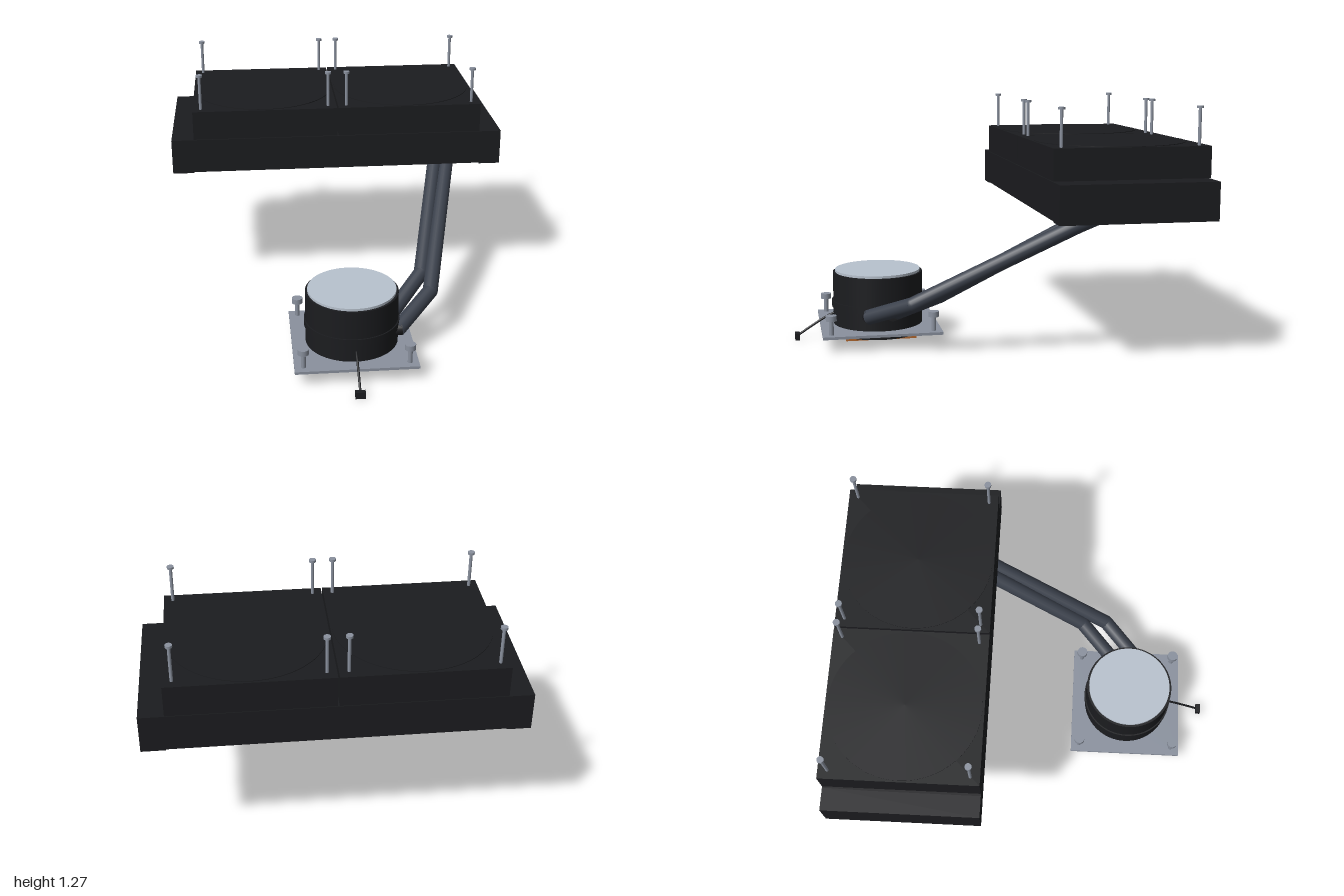
import * as THREE from 'three';

const mat = (color) => new THREE.MeshStandardMaterial({ color });
const black = mat(0x1b1c1f), rubber = mat(0x3a404b), steel = mat(0x8a919e);
const silver = mat(0xb8c2ce), copper = mat(0xb4682f);

function add(parent, name, geometry, material, x = 0, y = 0, z = 0) {
  const mesh = new THREE.Mesh(geometry, material);
  mesh.name = name;
  mesh.position.set(x, y, z);
  parent.add(mesh);
  return mesh;
}

// Box and upright cylinder given by their bottom and top heights
const box = (p, name, m, w, d, y0, y1, x = 0, z = 0) =>
  add(p, name, new THREE.BoxGeometry(w, y1 - y0, d), m, x, (y0 + y1) / 2, z);
const disc = (p, name, m, r, y0, y1, x = 0, z = 0, sides = 64) =>
  add(p, name, new THREE.CylinderGeometry(r, r, y1 - y0, sides), m, x, (y0 + y1) / 2, z);

// Round rod between two points
function rod(p, name, m, r, a, b, sides = 20) {
  const dir = b.clone().sub(a);
  const mid = a.clone().add(b).multiplyScalar(0.5);
  const mesh = add(p, name, new THREE.CylinderGeometry(r, r, dir.length(), sides), m, mid.x, mid.y, mid.z);
  mesh.quaternion.setFromUnitVectors(new THREE.Vector3(0, 1, 0), dir.normalize());
}

// Chain of rods with rounded joints
function pipe(p, name, m, r, coords) {
  const pts = coords.map((c) => new THREE.Vector3(...c));
  const g = new THREE.Group();
  g.name = name;
  p.add(g);
  for (let i = 0; i < pts.length - 1; i++) {
    rod(g, name + 'Segment', m, r, pts[i], pts[i + 1]);
    if (i) add(g, name + 'Joint', new THREE.SphereGeometry(r, 20, 14), m, ...coords[i]);
  }
}

function radiatorUnit() {
  const g = new THREE.Group();
  g.name = 'radiatorUnit';
  g.position.z = -0.605;
  // Radiator core with an end tank on each side
  box(g, 'radiatorCore', black, 1.6, 0.79, 0.727, 0.913);
  for (const s of [-1, 1]) {
    box(g, 'endTank', black, 0.115, 0.79, 0.722, 0.913, s * 0.8525);
    // Fan with raised rotor face and four long screws
    box(g, 'fanFrame', black, 0.785, 0.79, 0.916, 1.073, s * 0.3965);
    disc(g, 'fanRotor', black, 0.385, 1.0, 1.076, s * 0.3965);
    for (const x of [0.05, 0.745]) for (const z of [-0.347, 0.347]) {
      disc(g, 'fanScrewShaft', steel, 0.008, 0.9, 1.256, s * x, z, 16);
      disc(g, 'fanScrewHead', steel, 0.017, 1.254, 1.266, s * x, z, 20);
    }
  }
  return g;
}

function pumpUnit() {
  const g = new THREE.Group();
  g.name = 'pumpUnit';
  g.position.z = 0.555;
  // Round housing with a band and a bright cap
  disc(g, 'pumpHousing', black, 0.238, 0.037, 0.36);
  disc(g, 'pumpBand', black, 0.245, 0.175, 0.21);
  disc(g, 'pumpCap', silver, 0.226, 0.35, 0.373);
  // Square cold plate and its round contact patch
  box(g, 'coldPlate', copper, 0.37, 0.37, 0.025, 0.038);
  disc(g, 'contactPatch', steel, 0.1, 0.02, 0.026);

  // Mounting plate with a round opening for the housing
  const shape = new THREE.Shape();
  const h = 0.31;
  shape.moveTo(-h, -h).lineTo(h, -h).lineTo(h, h).lineTo(-h, h).closePath();
  shape.holes.push(new THREE.Path().absarc(0, 0, 0.236, 0, Math.PI * 2, true));
  const plate = new THREE.ExtrudeGeometry(shape, { depth: 0.014, bevelEnabled: false, curveSegments: 48 });
  plate.rotateX(-Math.PI / 2);
  add(g, 'mountingPlate', plate, steel, 0, 0.069, 0);

  // Thumb screws at the corners
  for (const x of [-0.265, 0.265]) for (const z of [-0.265, 0.265]) {
    disc(g, 'mountPost', steel, 0.012, 0.075, 0.165, x, z, 16);
    disc(g, 'thumbScrew', steel, 0.028, 0.158, 0.186, x, z, 24);
  }
  return g;
}

export function createModel() {
  const model = new THREE.Group();
  model.name = 'liquidCooler';
  model.add(radiatorUnit(), pumpUnit());

  // Coolant hoses from pump to radiator
  pipe(model, 'innerHose', rubber, 0.04, [
    [0.2, 0.165, 0.5], [0.4, 0.3, 0.28], [0.575, 0.685, -0.39], [0.6, 0.78, -0.46]]);
  pipe(model, 'outerHose', rubber, 0.04, [
    [0.23, 0.16, 0.625], [0.427, 0.262, 0.42], [0.638, 0.675, -0.37], [0.71, 0.77, -0.56]]);

  // Hose fittings on the housing
  const v = (x, y, z) => new THREE.Vector3(x, y, z);
  rod(model, 'hoseFitting', black, 0.034, v(0.17, 0.16, 0.625), v(0.25, 0.165, 0.625));
  rod(model, 'hoseFitting', black, 0.034, v(0.17, 0.165, 0.5), v(0.245, 0.17, 0.5));

  // Power cable and plug
  const cable = new THREE.CatmullRomCurve3([
    v(0, 0.145, 0.77), v(0, 0.125, 0.82), v(0, 0.078, 0.9), v(0, 0.022, 0.985)]);
  add(model, 'powerCable', new THREE.TubeGeometry(cable, 24, 0.006, 10), black);
  box(model, 'powerPlug', black, 0.05, 0.025, 0, 0.035, 0, 0.9875);
  return model;
}
